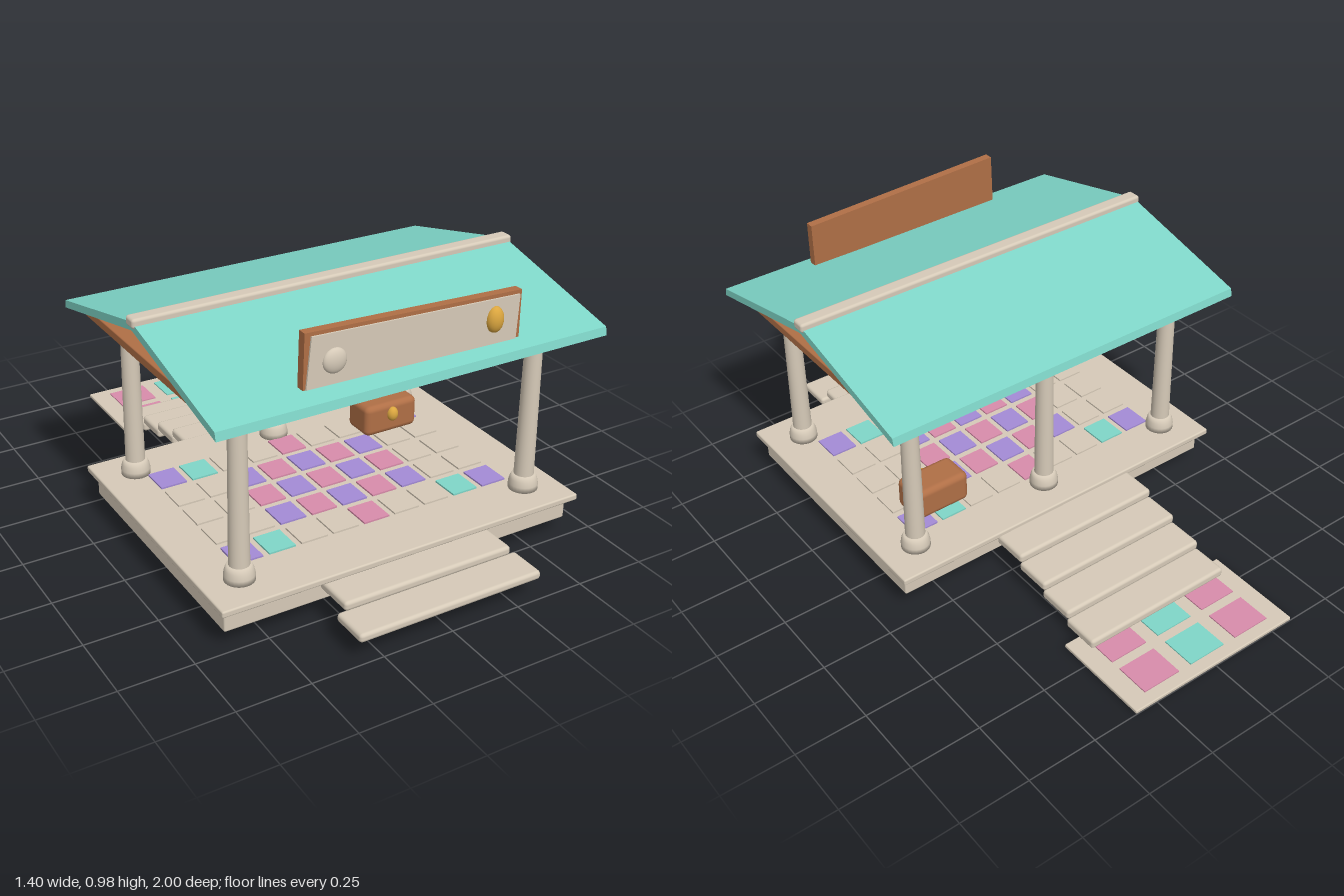
import * as THREE from 'three';
import { RoundedBoxGeometry } from 'three/addons/geometries/RoundedBoxGeometry.js';

const mat = (name, color) => {
  const m = new THREE.MeshStandardMaterial({ color });
  m.name = name;
  return m;
};

export function createModel() {
  const stone = mat('stone', 0xd6cab8);
  const teal = mat('teal', 0x7fd6c8);
  const wood = mat('wood', 0xb06f46);
  const pink = mat('pink', 0xd98cab);
  const purple = mat('purple', 0xa48bd6);
  const gold = mat('gold', 0xdba63f);

  const root = new THREE.Group();
  root.name = 'pavilion';
  const midZ = 0.273; // centre of deck and roof

  const add = (name, geo, material, x = 0, y = 0, z = 0, parent = root) => {
    const m = new THREE.Mesh(geo, material);
    m.name = name;
    m.position.set(x, y, z);
    parent.add(m);
    return m;
  };
  // softly bevelled block given by its limits; x is symmetric unless xc is set
  const block = (name, material, w, y0, y1, z0, z1, r = 0.006, xc = 0) =>
    add(name, new RoundedBoxGeometry(w, y1 - y0, z1 - z0, 2, r), material,
      xc, (y0 + y1) / 2, (z0 + z1) / 2);
  const polygon = (pts) => new THREE.Shape(pts.map(([x, y]) => new THREE.Vector2(x, y)));

  // Deck
  block('deckBase', stone, 1.29, 0.067, 0.147, -0.19, 0.737);
  block('deckSlab', stone, 1.335, 0.145, 0.168, -0.225, 0.771);

  // Front steps
  block('frontStepUpper', stone, 0.62, 0.105, 0.138, 0.72, 0.877, 0.012);
  block('frontStepLower', stone, 0.67, 0.077, 0.108, 0.864, 1.0, 0.012);

  // Back stairs and landing
  for (let i = 0; i < 4; i++) {
    const top = 0.153 - i * 0.031, z = -0.21 - i * 0.126;
    block('backStep', stone, 0.572, top - 0.036, top, z - 0.137, z, 0.012);
  }
  block('landing', stone, 0.67, 0.003, 0.017, -1.0, -0.645, 0.004);

  // Landing tiles
  const tiles = new THREE.Group();
  tiles.name = 'tiles';
  root.add(tiles);
  for (const z of [-0.896, -0.738]) {
    for (const i of [-1, 0, 1]) {
      add('landingTile', new THREE.BoxGeometry(0.143, 0.007, 0.122), i ? pink : teal,
        i * 0.193, 0.018, z, tiles);
    }
  }

  // Deck mosaic: coloured corners, pale border and chequered middle
  const tileColor = (i, j) => {
    const a = Math.abs(i), b = Math.abs(j);
    if (b === 2) return a === 4 ? purple : a === 3 ? teal : a === 0 ? pink : stone;
    if (a >= 3) return stone;
    return (a + b) % 2 ? purple : pink;
  };
  const tileGeo = new THREE.BoxGeometry(0.095, 0.008, 0.104);
  for (let i = -4; i <= 4; i++) {
    for (let j = -2; j <= 2; j++) {
      add('deckTile', tileGeo, tileColor(i, j), i * 0.117, 0.17, 0.26 + j * 0.131, tiles);
    }
  }

  // Columns: four corners and one in the middle of the back
  const shaft = new THREE.CylinderGeometry(0.029, 0.034, 0.55, 24);
  const foot = new THREE.LatheGeometry([
    [0, 0], [0.05, 0], [0.05, 0.02], [0.046, 0.038], [0.039, 0.054], [0, 0.056],
  ].map(([x, y]) => new THREE.Vector2(x, y)), 24);
  for (const [x, z] of [[-0.54, 0.64], [0.54, 0.64], [-0.54, -0.1], [0.54, -0.1], [0, -0.1]]) {
    add('columnShaft', shaft, stone, x, 0.475, z);
    add('columnFoot', foot, stone, x, 0.168, z);
  }

  // Ceiling board, gable roof and ridge beam
  block('ceiling', wood, 1.3, 0.743, 0.773, -0.21, 0.755, 0.004);
  const roofGeo = new THREE.ExtrudeGeometry(polygon([
    [-0.53, 0.755], [0, 0.88], [0.53, 0.755], [0.524, 0.783], [0, 0.908], [-0.524, 0.783],
  ]), { depth: 1.384, bevelEnabled: false });
  roofGeo.translate(0, 0, -0.692).rotateY(Math.PI / 2);
  add('roof', roofGeo, teal, 0, 0, midZ);
  block('ridgeBeam', stone, 1.4, 0.891, 0.924, midZ - 0.026, midZ + 0.026, 0.01);

  // Slightly crooked sign with two round studs
  const board = (name, material, pts, z, depth) =>
    add(name, new THREE.ExtrudeGeometry(polygon(pts), { depth, bevelEnabled: false }),
      material, 0, 0, z);
  board('signBoard', wood,
    [[-0.385, 0.808], [0.383, 0.8], [0.383, 0.957], [-0.38, 0.985]], 0.717, 0.03);
  board('signFace', stone,
    [[-0.377, 0.81], [0.367, 0.8], [0.374, 0.945], [-0.36, 0.972]], 0.747, 0.006);
  const ball = new THREE.SphereGeometry(1, 24, 16);
  add('signStudPale', ball, stone, -0.284, 0.883, 0.753).scale.set(0.04, 0.04, 0.018);
  add('signStudGold', ball, gold, 0.281, 0.883, 0.753).scale.set(0.03, 0.043, 0.025);

  // Wooden chest with a gold clasp
  block('chest', wood, 0.215, 0.173, 0.289, -0.02, 0.107, 0.022, 0.37);
  add('chestClasp', ball, gold, 0.37, 0.247, 0.108).scale.set(0.021, 0.027, 0.02);

  return root;
}
